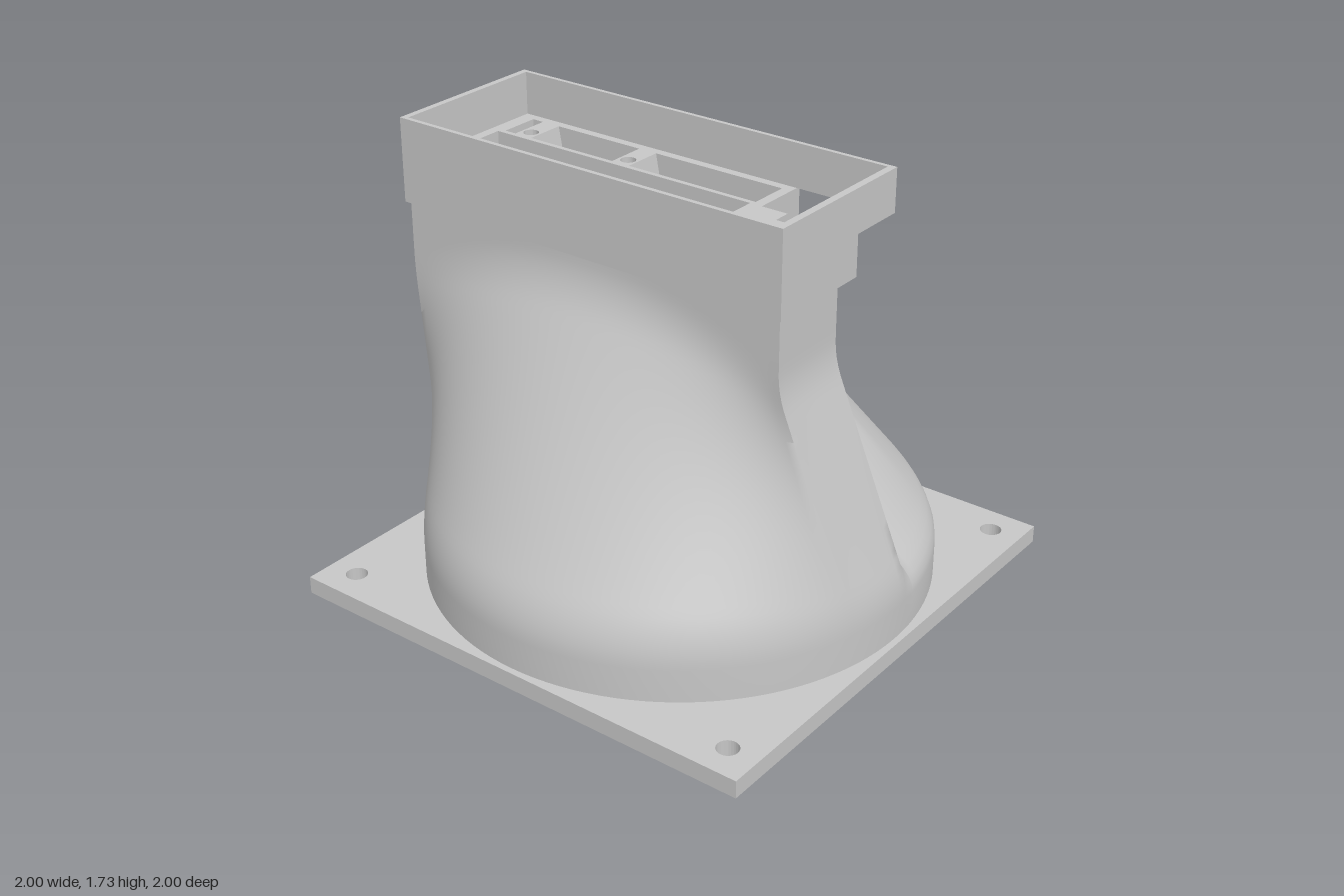
import * as THREE from 'three';
import { toCreasedNormals } from 'three/addons/utils/BufferGeometryUtils.js';

const grey = new THREE.MeshStandardMaterial({ color: 0xc6c6c6 });
grey.name = 'grey plastic';

const part = (name, geometry) => {
  const mesh = new THREE.Mesh(geometry, grey);
  mesh.name = name;
  return mesh;
};

// Plan outlines are given as [x, z], clockwise from above once mirrored; slabs rise from y0 to y1
const plan = (pts) => pts.map(([x, z]) => new THREE.Vector2(x, -z)).reverse();
const rect = (x0, z0, x1, z1) => plan([[x0, z0], [x1, z0], [x1, z1], [x0, z1]]);
const circle = (x, z, r) => new THREE.Path().absarc(x, -z, r, 0, Math.PI * 2, false);

function slab(outline, holes, y0, y1, curveSegments = 16) {
  const shape = new THREE.Shape(outline);
  shape.holes = holes.map((h) => (Array.isArray(h) ? new THREE.Path(h) : h));
  const geo = new THREE.ExtrudeGeometry(shape, { depth: y1 - y0, bevelEnabled: false, curveSegments });
  geo.rotateX(-Math.PI / 2).translate(0, y0, 0);
  return toCreasedNormals(geo, 0.6);
}

// Linear ramp from a to b with rounded ends of half-length r
function ramp(y, a, b, r) {
  const soft = (d) => (d <= -r ? 0 : d >= r ? d : (d + r) ** 2 / (4 * r));
  return (soft(y - a) - soft(y - b)) / (b - a);
}

// Duct skin: a circle blending upwards into an L-shaped section
function duct(radius, inset, yBottom, inward) {
  const d = inset;
  // x, z, matching angle on the circle, segments to the next corner,
  // and how early the blend finishes along that edge (0 = late, 1 = early)
  const corners = [
    [-0.36 + d, 0.69 - d, -15, 10, () => 0.45],
    [-0.02 - d, 0.69 - d, 4, 10, (u) => 0.45 + 0.55 * u],
    [-0.02 - d, 0.30 - d, 8, 14, () => 1],
    [0.30 - d, 0.30 - d, 38, 44, (u) => Math.max(0, 1 - u / 0.33, 0.45 * (u - 0.8) / 0.2)],
    [0.30 - d, -0.98 + d, 163, 16, () => 0.45],
    [-0.36 + d, -0.98 + d, 201, 48, (u) => 0.45 * (2 * u - 1) ** 2],
  ];

  const loop = [];
  corners.forEach(([x, z, a, n, early], k) => {
    const [x2, z2, a2] = corners[(k + 1) % 6];
    const end = a2 < a ? a2 + 360 : a2;
    for (let i = 0; i < n; i++) {
      const u = i / n;
      const ang = THREE.MathUtils.degToRad(a + (end - a) * u);
      loop.push({
        x: x + (x2 - x) * u, z: z + (z2 - z) * u,
        cx: radius * Math.sin(ang), cz: radius * Math.cos(ang), early: early(u),
      });
    }
  });

  const levels = [yBottom];
  for (let j = 0; j <= 40; j++) levels.push(0.2 + 0.03 * j);
  const pos = [], index = [], n = loop.length;
  levels.forEach((y, j) => {
    loop.forEach((p, i) => {
      const f = ramp(y, 0.3 - 0.05 * p.early, 1.3 - 0.38 * p.early, 0.1 - 0.05 * p.early);
      pos.push(p.cx + (p.x - p.cx) * f, y, p.cz + (p.z - p.cz) * f);
      if (j === 0) return;
      const i2 = (i + 1) % n, lo = (j - 1) * n, hi = j * n;
      const quad = [lo + i, lo + i2, hi + i2, lo + i, hi + i2, hi + i];
      index.push(...(inward ? quad.reverse() : quad));
    });
  });
  const geo = new THREE.BufferGeometry();
  geo.setAttribute('position', new THREE.Float32BufferAttribute(pos, 3));
  geo.setIndex(index);
  return toCreasedNormals(geo, 1.2);
}

// Triangular ramp across the narrow channel, from height 1.56 at zTop to 1.4 at zFoot
function wedge(zTop, zFoot) {
  const shape = new THREE.Shape([
    new THREE.Vector2(-zTop, 1.4), new THREE.Vector2(-zFoot, 1.4), new THREE.Vector2(-zTop, 1.56)]);
  const geo = new THREE.ExtrudeGeometry(shape, { depth: 0.16, bevelEnabled: false });
  return geo.rotateY(Math.PI / 2).translate(0.10, 0, 0);
}

export function createModel() {
  const model = new THREE.Group();
  model.name = 'ductAdapter';

  // Square flange with a round opening and four screw holes
  const flangeHoles = [circle(0, 0, 0.95)];
  for (const x of [-0.875, 0.875]) for (const z of [-0.875, 0.875]) flangeHoles.push(circle(x, z, 0.042));
  model.add(part('baseFlange', slab(rect(-1, -1, 1, 1), flangeHoles, 0, 0.07, 48)));

  // Duct walls
  model.add(part('ductOuterSkin', duct(0.975, 0, 0.07, false)));
  model.add(part('ductInnerSkin', duct(0.95, 0.03, 0, true)));

  // Socket floor: notched corner, main opening, channel windows and screw holes
  const floorOutline = plan([
    [-0.37, -1], [0.312, -1], [0.312, 0.30], [0.08, 0.30], [0.08, 0.41], [0.01, 0.41],
    [0.01, 0.53], [0.08, 0.53], [0.08, 0.70], [-0.37, 0.70]]);
  const mainOpening = plan([
    [-0.32, -0.935], [0.08, -0.935], [0.08, 0.25], [-0.04, 0.25], [-0.04, 0.64], [-0.32, 0.64]]);
  const windows = [[-0.915, -0.865], [-0.785, -0.39], [-0.31, 0.26]].map(([a, b]) => rect(0.10, a, 0.26, b));
  const screws = [-0.825, -0.35].map((z) => circle(0.145, z, 0.03));
  model.add(part('socketFloor', slab(floorOutline, [mainOpening, ...windows, ...screws], 1.4, 1.56)));

  // Sloped braces either side of each screw bar
  for (const [top, foot] of [[-0.865, -0.895], [-0.785, -0.755], [-0.39, -0.42], [-0.31, -0.28]]) {
    model.add(part('screwBarBrace', wedge(top, foot)));
  }

  // Thin rim around the socket
  model.add(part('socketRim',
    slab(rect(-0.37, -1, 0.312, 0.70), [rect(-0.352, -0.975, 0.295, 0.672)], 1.56, 1.73)));

  return model;
}
